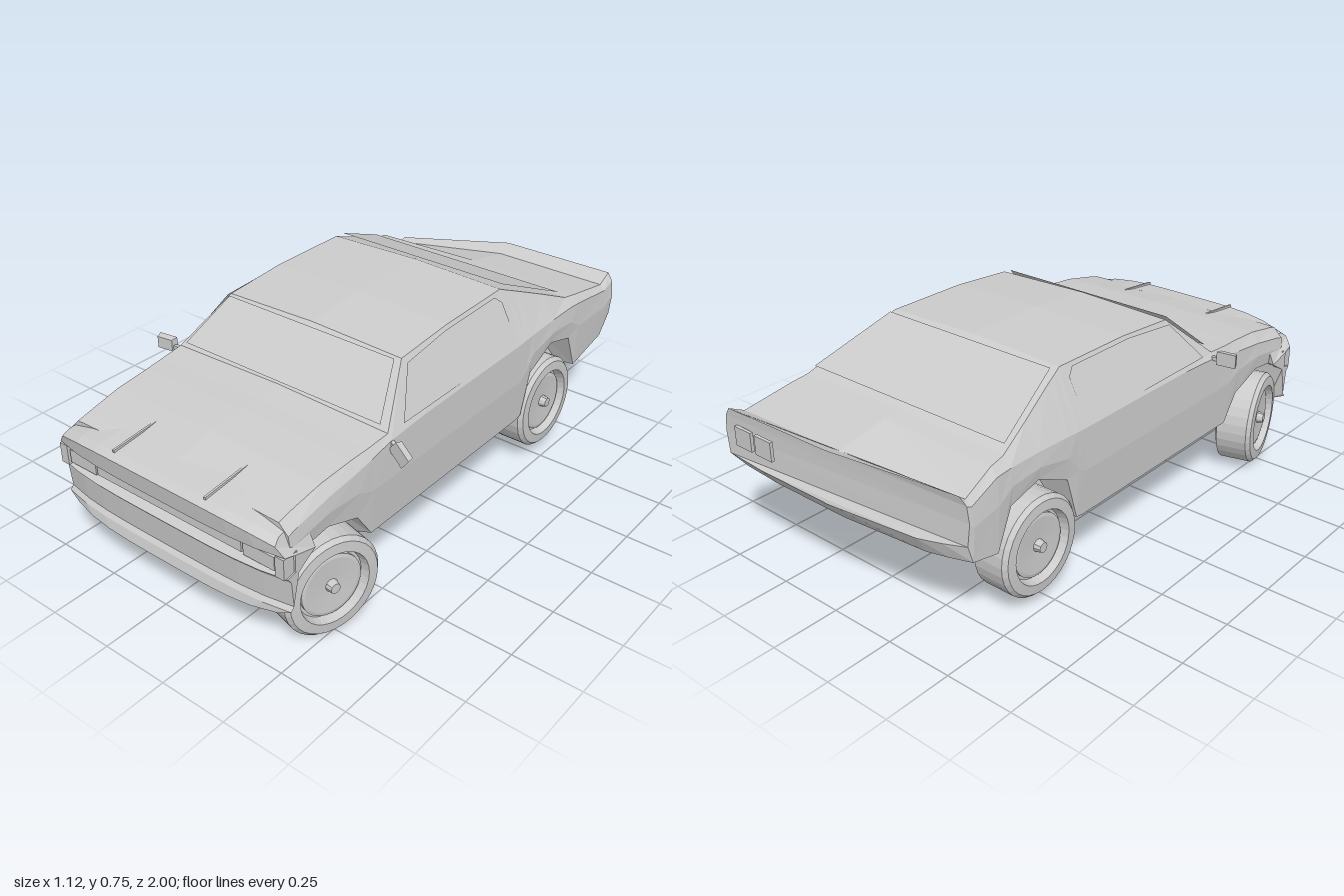
import * as THREE from 'three';

const flat = new THREE.MeshStandardMaterial({ color: 0xcccccc, flatShading: true });
const thin = new THREE.MeshStandardMaterial({ color: 0xcccccc, flatShading: true, side: THREE.DoubleSide });

function mesh(name, geometry, material = flat) {
  const m = new THREE.Mesh(geometry, material);
  m.name = name;
  return m;
}

function box(name, w, h, d, x, y, z) {
  const m = mesh(name, new THREE.BoxGeometry(w, h, d));
  m.position.set(x, y, z);
  return m;
}

// Body stations: z, floor y, side lower edge y, waist y, belt y, top edge x, top edge y
const stations = [
  [0.92, 0.18, 0.35, 0.41, 0.455, 0.44, 0.49],
  [0.88, 0.18, 0.37, 0.42, 0.465, 0.44, 0.5],
  [0.74, 0.18, 0.385, 0.44, 0.49, 0.445, 0.528],
  [0.6, 0.18, 0.335, 0.43, 0.505, 0.45, 0.54],
  [0.53, 0.18, 0.235, 0.4, 0.515, 0.455, 0.545],
  [0.43, 0.185, 0.235, 0.4, 0.535, 0.46, 0.555],
  [0.25, 0.195, 0.235, 0.4, 0.545, 0.375, 0.715],
  [0, 0.21, 0.235, 0.4, 0.548, 0.375, 0.735],
  [-0.33, 0.228, 0.235, 0.4, 0.55, 0.372, 0.738],
  [-0.36, 0.23, 0.24, 0.42, 0.552, 0.378, 0.725],
  [-0.41, 0.23, 0.4, 0.48, 0.555, 0.388, 0.705],
  [-0.55, 0.235, 0.465, 0.51, 0.56, 0.42, 0.648],
  [-0.68, 0.25, 0.43, 0.5, 0.56, 0.445, 0.592],
  [-0.74, 0.275, 0.29, 0.46, 0.555, 0.45, 0.583],
  [-0.94, 0.325, 0.335, 0.46, 0.53, 0.455, 0.55],
  [-1, 0.4, 0.41, 0.49, 0.55, 0.455, 0.58],
];

// Crushed rear corner on the right-hand side
function dent([x, y, z]) {
  const s = THREE.MathUtils.clamp((-0.8 - z) / 0.2, 0, 1);
  const t = Math.max(0, 0.3 - x) / 0.78;
  return [x * (1 - 0.04 * s * t ** 3), y - 0.05 * s * t * t, z + 0.15 * s * t ** 3];
}

function bodyGeometry() {
  const N = 14, pos = [], idx = [];
  for (const [z, yf, yw, ym, yb, xt, yt] of stations) {
    const well = yw - yf > 0.1;
    const half = [[0, yf], [0.32, yf], well ? [0.32, yw] : [0.4, (yf + yw) / 2], [0.475, yw],
      [0.482, ym], [0.475, yb], [xt, yt], [0, yt + 0.011]];
    const ring = [...half, ...half.slice(1, 7).reverse().map(([x, y]) => [-x, y])];
    ring.forEach(([x, y]) => pos.push(...dent([x, y, z])));
  }
  const last = (stations.length - 1) * N;
  for (let o = 0; o < last; o += N) {
    for (let j = 0; j < N; j++) {
      const k = (j + 1) % N;
      idx.push(o + j, o + N + j, o + N + k, o + j, o + N + k, o + k);
    }
  }
  // Closed front and rear ends
  for (let k = 0; k < 7; k++) {
    const l = (N - k) % N, l2 = N - k - 1;
    idx.push(l, k, k + 1, l, k + 1, l2);
    idx.push(last + l, last + k + 1, last + k, last + l, last + l2, last + k + 1);
  }
  const g = new THREE.BufferGeometry();
  g.setAttribute('position', new THREE.Float32BufferAttribute(pos, 3));
  g.setIndex(idx);
  g.computeVertexNormals();
  return g;
}

// Nose profile (z, y) swept across the width, then tapered and rounded
function noseGeometry() {
  const profile = [[0.86, 0.512], [0.975, 0.498], [1, 0.48], [0.99, 0.41], [0.95, 0.4], [0.95, 0.337],
    [0.985, 0.33], [0.97, 0.31], [0.962, 0.215], [0.975, 0.2], [0.985, 0.165], [0.94, 0.17],
    [0.935, 0.33], [0.86, 0.375]];
  const g = new THREE.ExtrudeGeometry(new THREE.Shape(profile.map(p => new THREE.Vector2(...p))),
    { depth: 1, steps: 10, bevelEnabled: false });
  g.rotateY(-Math.PI / 2).translate(0.5, 0, 0);
  const p = g.attributes.position;
  for (let i = 0; i < p.count; i++) {
    const x = p.getX(i), y = p.getY(i), t = (Math.abs(x) * 2) ** 4;
    const w = y > 0.4 ? 1 - (y - 0.4) * 0.8 : y < 0.2 ? 0.9 : 1;
    p.setXYZ(i, x * w, y - (y > 0.45 ? 0.035 * t : 0) + (y < 0.2 ? 0.015 * t : 0), p.getZ(i) - 0.03 * t);
  }
  g.computeVertexNormals();
  return g;
}

// Flat window pane from its corners, pushed slightly out of the body
function pane(name, corners, offset) {
  const v = corners.map(c => new THREE.Vector3(...c).add(new THREE.Vector3(...offset)));
  const pts = [];
  for (let i = 1; i < v.length - 1; i++) pts.push(v[0], v[i], v[i + 1]);
  const g = new THREE.BufferGeometry().setFromPoints(pts);
  g.computeVertexNormals();
  return mesh(name, g, thin);
}

function wheel(name, s, x, y, z, steer) {
  const group = new THREE.Group();
  group.name = name;
  const lathe = pts => new THREE.LatheGeometry(pts.map(p => new THREE.Vector2(...p)), 32);
  const parts = [
    mesh('tyre', lathe([[0, -0.07], [0.155, -0.07], [0.178, -0.06], [0.178, 0.055], [0.165, 0.07],
      [0.13, 0.073], [0.122, 0.04], [0, 0.04]])),
    mesh('rim', lathe([[0.112, 0.035], [0.112, 0.052], [0.1, 0.055], [0, 0.05]])),
    mesh('hub', new THREE.CylinderGeometry(0.018, 0.024, 0.03, 10).translate(0, 0.06, 0)),
  ];
  for (const m of parts) {
    m.rotation.z = -s * Math.PI / 2;
    group.add(m);
  }
  group.position.set(x * s, y, z);
  group.rotation.y = -s * steer;
  return group;
}

function mirror(name, s, y, tilt) {
  const group = new THREE.Group();
  group.name = name;
  const head = mesh('mirrorHead', new THREE.CylinderGeometry(0.04, 0.034, 0.025, 4, 1));
  head.geometry.rotateY(Math.PI / 4).rotateX(Math.PI / 2).scale(1.3, 0.9, 1);
  head.position.set(0.055, 0, 0);
  group.add(head, box('mirrorArm', 0.05, 0.014, 0.014, 0.01, -0.008, 0));
  group.position.set(s * 0.472, y, 0.425);
  group.rotation.set(0, s > 0 ? -0.15 : Math.PI + 0.15, s * tilt);
  return group;
}

export function createModel() {
  const car = new THREE.Group();
  car.name = 'car';
  car.add(mesh('body', bodyGeometry()), mesh('nose', noseGeometry()));

  // Windscreen and rear window
  car.add(pane('windscreen', [[-0.43, 0.566, 0.424], [0.43, 0.566, 0.424], [0.362, 0.708, 0.265], [-0.362, 0.708, 0.265]],
    [0, 0.01, 0.006]));
  car.add(pane('rearWindow', [[0.43, 0.606, -0.655], [-0.43, 0.606, -0.655], [-0.362, 0.73, -0.36], [0.362, 0.73, -0.36]],
    [0, 0.012, -0.002]));

  for (const s of [1, -1]) {
    // Side window lying in the slope between belt and roof edge
    const at = (y, z) => [s * (0.473 - (y - 0.548) * 0.53), y, z];
    car.add(pane('sideWindow', [at(0.56, 0.36), at(0.56, -0.31), at(0.7, -0.31), at(0.725, -0.28), at(0.722, 0.02),
      at(0.702, 0.245)], [s * 0.004, 0.002, 0]));
    // Hood crease
    const ridge = box('hoodRidge', 0.008, 0.01, 0.36, s * 0.2, 0.518, 0.8);
    ridge.rotation.x = 0.1;
    car.add(ridge);
    // Headlight and the closed end of the grille opening
    car.add(box('headlight', 0.125, 0.05, 0.02, s * 0.39, 0.368, 0.95));
    car.add(box('grilleEnd', 0.035, 0.075, 0.06, s * 0.477, 0.368, 0.935));
    // Wheels
    car.add(wheel('frontWheel', s, 0.445, 0.178, 0.74, 0.26));
    car.add(wheel('rearWheel', s, 0.411, 0.215, -0.54, 0));
  }
  car.add(box('grille', 0.64, 0.04, 0.012, 0, 0.368, 0.954));

  // Remaining tail lights on the undamaged side
  for (const x of [0.29, 0.39]) car.add(box('tailLight', 0.08, 0.07, 0.012, x, 0.49, -0.998));

  // Mirrors, one of them knocked down
  car.add(mirror('leftMirror', 1, 0.535, -0.65), mirror('rightMirror', -1, 0.545, 0));
  return car;
}
